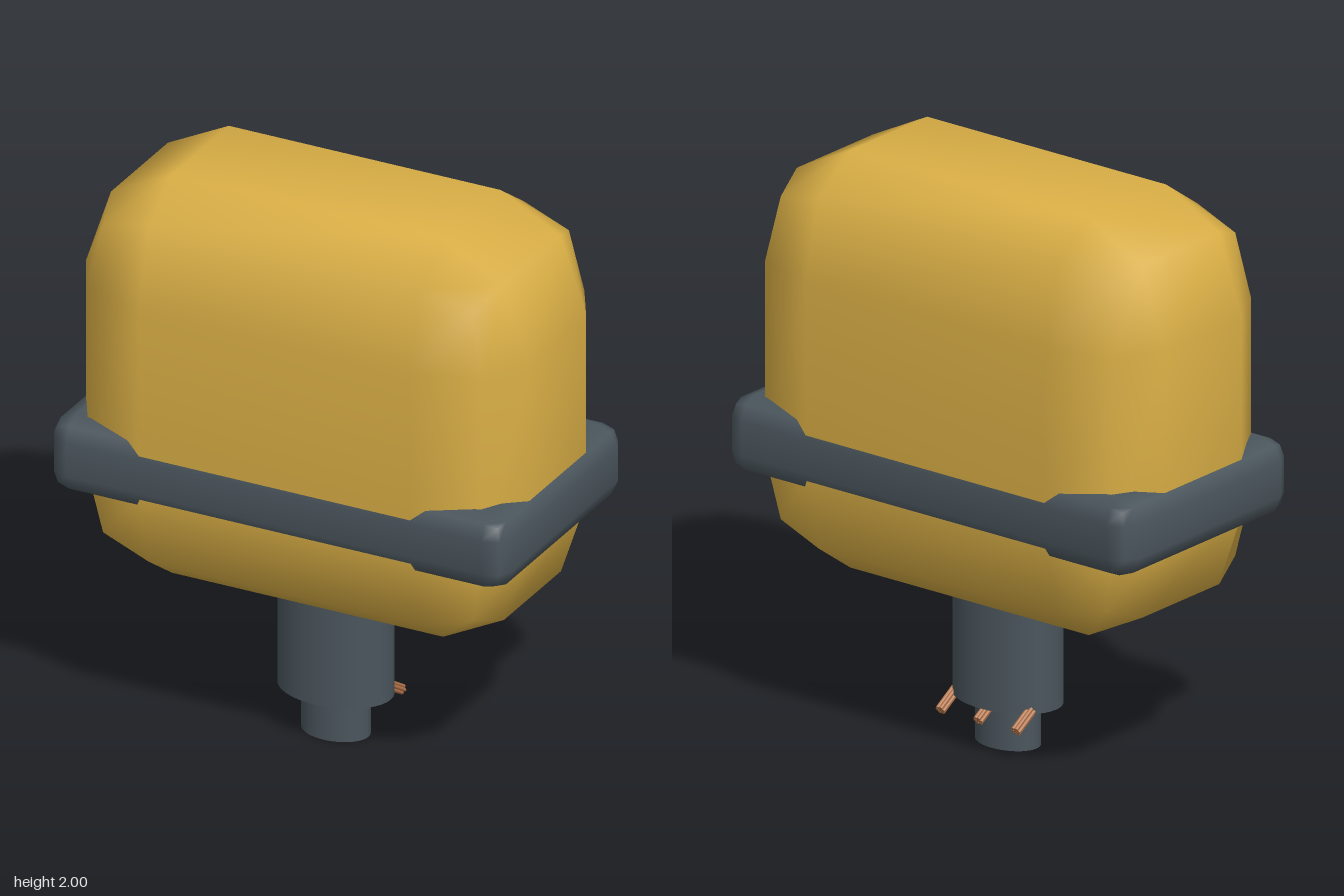
import * as THREE from 'three';
import { mergeVertices } from 'three/addons/utils/BufferGeometryUtils.js';

const yellow = new THREE.MeshStandardMaterial({ name: 'yellow shell', color: 0xd9ae45 });
const slate = new THREE.MeshStandardMaterial({ name: 'slate grey', color: 0x4a555c });
const copper = new THREE.MeshStandardMaterial({ name: 'copper', color: 0xb5754a });

// Box with two-step bevels: core holds the flat half sizes, radius the bevel depth per axis
function bevelledBox(core, radius) {
  const geo = new THREE.BoxGeometry(2, 2, 2, 3, 3, 3);
  geo.deleteAttribute('uv');
  geo.deleteAttribute('normal');
  const pos = geo.attributes.position;
  for (let i = 0; i < pos.count; i++) {
    const p = [pos.getX(i), pos.getY(i), pos.getZ(i)];
    const dir = p.map((v) => (Math.abs(v) > 0.9 ? Math.sign(v) : 0));
    const len = Math.hypot(...dir);
    pos.setXYZ(i, ...p.map((v, a) => Math.sign(v) * core[a] + (dir[a] / len) * radius[a]));
  }
  const smooth = mergeVertices(geo);
  smooth.computeVertexNormals();
  return smooth;
}

function addMesh(parent, name, geo, material, x = 0, y = 0, z = 0) {
  const mesh = new THREE.Mesh(geo, material);
  mesh.name = name;
  mesh.position.set(x, y, z);
  parent.add(mesh);
  return mesh;
}

// Upright oval cylinder between two heights
function ovalStem(rx, rz, y0, y1) {
  return new THREE.CylinderGeometry(1, 1, y1 - y0, 40).scale(rx, 1, rz).translate(0, (y0 + y1) / 2, 0);
}

// Bundle of thin wire strands pointing down and back
function wireBundle() {
  const bundle = new THREE.Group();
  const start = new THREE.Vector3(0, 0.165, -0.075);
  const end = new THREE.Vector3(0, 0.114, -0.157);
  const length = start.distanceTo(end);
  const strands = 6;
  for (let i = 0; i <= strands; i++) {
    const angle = (i / strands) * Math.PI * 2;
    const r = i === strands ? 0 : 0.0125;
    addMesh(bundle, 'strand', new THREE.CylinderGeometry(0.0065, 0.0065, length, 8), copper,
      Math.cos(angle) * r, 0, Math.sin(angle) * r);
  }
  bundle.position.copy(start).add(end).multiplyScalar(0.5);
  bundle.quaternion.setFromUnitVectors(new THREE.Vector3(0, 1, 0), end.clone().sub(start).normalize());
  return bundle;
}

export function createModel() {
  const model = new THREE.Group();
  model.name = 'bevelledHeadOnStem';

  // Main shell
  addMesh(model, 'shell', bevelledBox([0.5, 0.338, 0.2], [0.318, 0.39, 0.233]), yellow, 0, 1.272, 0);

  // Bumper band around the shell
  addMesh(model, 'band', bevelledBox([0.765, 0.06, 0.37], [0.08, 0.075, 0.068]), slate, 0, 1, 0);

  // Stepped stem
  addMesh(model, 'upperStem', ovalStem(0.202, 0.147, 0.155, 0.62), slate);
  addMesh(model, 'lowerStem', ovalStem(0.12, 0.087, 0, 0.2), slate);

  // Three wire bundles at the back of the stem
  for (const x of [-0.158, 0, 0.158]) {
    const bundle = wireBundle();
    bundle.name = 'wireBundle';
    bundle.position.x = x;
    model.add(bundle);
  }
  return model;
}
